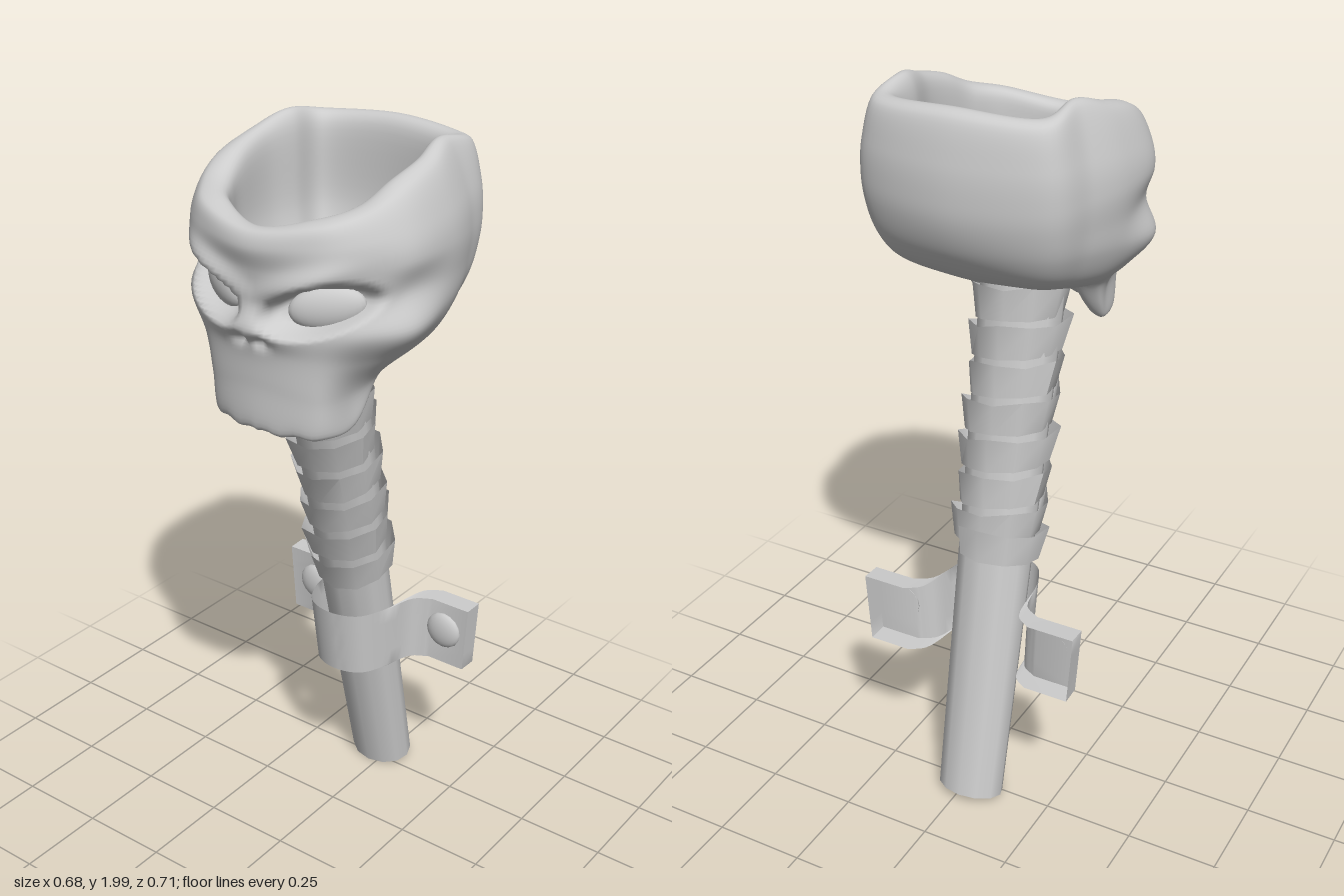
import * as THREE from 'three';
import { toCreasedNormals } from 'three/addons/utils/BufferGeometryUtils.js';

const material = new THREE.MeshStandardMaterial({ color: 0xcccccc });
const sheetMaterial = new THREE.MeshStandardMaterial({ color: 0xcccccc, side: THREE.DoubleSide });
const { smoothstep, degToRad } = THREE.MathUtils;

function part(name, geometry, parent, mat = material) {
  const mesh = new THREE.Mesh(geometry, mat);
  mesh.name = name;
  parent.add(mesh);
  return mesh;
}

// Skin over a grid of points: rows[j][i], optionally closed around i
function skin(rows, closed) {
  const n = rows[0].length;
  const index = [];
  for (let j = 0; j < rows.length - 1; j++) {
    for (let i = 0; i < (closed ? n : n - 1); i++) {
      const k = (i + 1) % n;
      const a = j * n + i, b = j * n + k, c = b + n, d = a + n;
      index.push(a, b, c, a, c, d);
    }
  }
  const geometry = new THREE.BufferGeometry().setFromPoints(rows.flat());
  geometry.setIndex(index);
  geometry.computeVertexNormals();
  return geometry;
}

// Half profiles by angle from the front; each pair is radius, height:
// jaw inside, jaw edge, mouth, nose base, cheek, eye, brow, forehead, rim outside, rim inside
const faceProfiles = [
  [0, [.25, 1.36, .31, 1.33, .315, 1.45, .322, 1.54, .35, 1.6, .32, 1.67, .325, 1.74, .34, 1.8, .322, 1.84, .275, 1.83]],
  [30, [.25, 1.36, .31, 1.33, .322, 1.43, .33, 1.53, .342, 1.6, .33, 1.67, .345, 1.76, .345, 1.82, .325, 1.865, .265, 1.86]],
  [50, [.2, 1.37, .245, 1.335, .255, 1.43, .308, 1.52, .352, 1.6, .338, 1.67, .345, 1.765, .343, 1.83, .31, 1.89, .245, 1.88]],
  [70, [.16, 1.47, .205, 1.46, .238, 1.475, .3, 1.53, .358, 1.605, .33, 1.695, .35, 1.775, .335, 1.85, .29, 1.93, .225, 1.92]],
];
const craniumProfiles = [
  [95, [.15, 1.49, .19, 1.49, .23, 1.5, .285, 1.545, .322, 1.62, .328, 1.7, .335, 1.78, .32, 1.86, .275, 1.96, .22, 1.945]],
  [118, [.14, 1.5, .18, 1.505, .23, 1.52, .285, 1.56, .322, 1.63, .336, 1.7, .342, 1.78, .328, 1.87, .278, 1.99, .228, 1.96]],
  [140, [.14, 1.51, .19, 1.52, .245, 1.54, .302, 1.58, .342, 1.64, .365, 1.71, .374, 1.78, .37, 1.87, .342, 1.968, .278, 1.95]],
  [180, [.14, 1.52, .19, 1.53, .227, 1.553, .268, 1.592, .305, 1.646, .33, 1.713, .338, 1.78, .333, 1.87, .305, 1.975, .245, 1.96]],
];

// Sockets, brow ridges, nostrils and teeth pressed into the front of the shell
function sculptFace(p) {
  const ax = Math.abs(p.x);
  const sx = Math.sign(p.x);
  const dx = ax - 0.16;
  const dy = p.y - 1.662 - 0.25 * dx;
  const e = Math.hypot(dx / 0.12, dy / 0.06);
  const socket = 1 - smoothstep(e, 0.65, 1.15);
  const ridge = p.y - (1.69 + 0.36 * (ax - 0.03));
  const brow = Math.exp(-((ridge / 0.03) ** 2) - ((ax - 0.12) / 0.11) ** 2);
  const nostril = Math.exp(-(((ax - 0.032) / 0.02) ** 2) - ((p.y - 1.568) / 0.016) ** 2);
  const push = 0.024 * brow - 0.058 * socket - 0.025 * nostril;
  p.x += sx * push * 0.35;
  p.z += push * 0.94;
  p.y += 0.004 * Math.sin(ax * 75) * (1 - smoothstep(p.y, 1.34, 1.4));
}

function skullGeometry() {
  const half = [...faceProfiles, ...craniumProfiles];
  const mirrored = half.slice(1, -1).reverse().map(([a, pts]) => [-a, pts]);
  const loop = [...half, ...mirrored];
  const aroundSteps = 140, perRow = 8;
  const ring = (radiusHeight) => new THREE.CatmullRomCurve3(loop.map(([deg, pts]) => {
    const a = degToRad(deg);
    const [r, y] = radiusHeight(pts);
    return new THREE.Vector3(r * Math.sin(a), y, r * Math.cos(a));
  }), true, 'catmullrom', 0.5);

  // Underside, outer wall, rim, hollow inside and floor
  const rings = [ring(() => [0.001, 1.5]), ring(() => [0.12, 1.5])];
  for (let k = 0; k < 10; k++) rings.push(ring((pts) => [pts[2 * k], pts[2 * k + 1]]));
  rings.push(ring((pts) => [pts[18] * 0.95, 1.74]), ring((pts) => [pts[18] * 0.68, 1.62]),
    ring(() => [0.001, 1.58]));

  const steps = (rings.length - 1) * perRow;
  const rows = Array.from({ length: steps + 1 }, () => []);
  for (let i = 0; i < aroundSteps; i++) {
    const column = new THREE.CatmullRomCurve3(
      rings.map((c) => c.getPoint(i / aroundSteps)), false, 'catmullrom', 0.5);
    for (let j = 0; j <= steps; j++) {
      const p = column.getPoint(j / steps);
      if (j > 2 * perRow && j < 10 * perRow && p.z > 0.06) sculptFace(p);
      rows[j].push(p);
    }
  }
  return skin(rows, true);
}

// Spiral strip of cloth, flared at its upper edge, starting with a level turn
function wrapGeometry() {
  const turns = 7, sides = 10, pitch = 0.101;
  const lower = [], upper = [];
  for (let i = -6; i <= turns * sides; i++) {
    const a = (i / sides) * Math.PI * 2;
    const y = 0.71 + (pitch * Math.max(i, 0)) / sides;
    const wobble = 0.008 * Math.sin(i * 2.3);
    const at = (r, h) => new THREE.Vector3((r + 0.016) * Math.sin(a), h, r * Math.cos(a));
    lower.push(at(0.1 + wobble * 0.5, y));
    upper.push(at(0.116 + wobble, y + 0.088 + wobble));
  }
  return toCreasedNormals(skin([lower, upper], false), 0.8);
}

// Strap bent around the handle; its side wings are shallow trays open at the back
function bracketGeometry() {
  const bulge = new THREE.CatmullRomCurve3([
    [-0.21, -0.245], [-0.165, -0.215], [-0.14, -0.11], [-0.1, -0.035], [-0.025, -0.01],
    [0.055, -0.035], [0.095, -0.11], [0.125, -0.215], [0.17, -0.245],
  ].map(([x, z]) => new THREE.Vector3(x, 0, z)));
  const path = [[-0.34, -0.3], [-0.339, -0.245]].map(([x, z]) => new THREE.Vector3(x, 0, z));
  path.push(...bulge.getPoints(40));
  path.push(new THREE.Vector3(0.289, 0, -0.245), new THREE.Vector3(0.29, 0, -0.3));
  const rows = [0, 0.01, 0.25, 0.5, 0.75, 0.99, 1].map((t) => path.map((p) => {
    const front = smoothstep(p.z, -0.245, -0.1);
    const lip = t === 0 || t === 1 ? 0.055 * (1 - front) : 0;
    return new THREE.Vector3(p.x * (0.955 + 0.045 * t), 0.44 + 0.2 * t,
      Math.max(p.z - lip, -0.3) - 0.025 * (1 - t) * front);
  }));
  return toCreasedNormals(skin(rows, false), 0.9);
}

export function createModel() {
  const model = new THREE.Group();
  model.name = 'skullTorch';

  // Skull bowl
  const skull = new THREE.Group();
  skull.name = 'skull';
  model.add(skull);
  part('skullBowl', skullGeometry(), skull);
  for (const side of [-1, 1]) {
    const eye = part(side > 0 ? 'leftEye' : 'rightEye', new THREE.SphereGeometry(1, 24, 16), skull);
    eye.scale.set(0.095, 0.055, 0.032);
    eye.position.set(side * 0.155, 1.655, 0.226);
    eye.rotation.set(0, side * 0.5, side * 0.18, 'YXZ');
  }

  // Leaning handle, open at its ends, with its wrapping
  const grip = new THREE.Group();
  grip.name = 'grip';
  grip.position.set(-0.025, 0.03, -0.285);
  grip.rotation.x = 0.212;
  model.add(grip);
  const handle = part('handle',
    new THREE.CylinderGeometry(0.118, 0.094, 1.52, 12, 1, true), grip, sheetMaterial);
  handle.position.y = 0.755;
  handle.scale.z = 0.77;
  part('clothWrap', wrapGeometry(), grip, sheetMaterial);

  // Wall bracket and its studs
  const bracket = new THREE.Group();
  bracket.name = 'bracket';
  model.add(bracket);
  part('strap', bracketGeometry(), bracket, sheetMaterial);
  for (const [name, x] of [['rightStud', -0.245], ['leftStud', 0.21]]) {
    const stud = part(name, new THREE.SphereGeometry(0.055, 16, 6, 0, Math.PI * 2, 0, Math.PI / 2), bracket);
    stud.scale.y = 0.4;
    stud.rotation.x = Math.PI / 2;
    stud.position.set(x, 0.55, -0.246);
  }
  return model;
}
